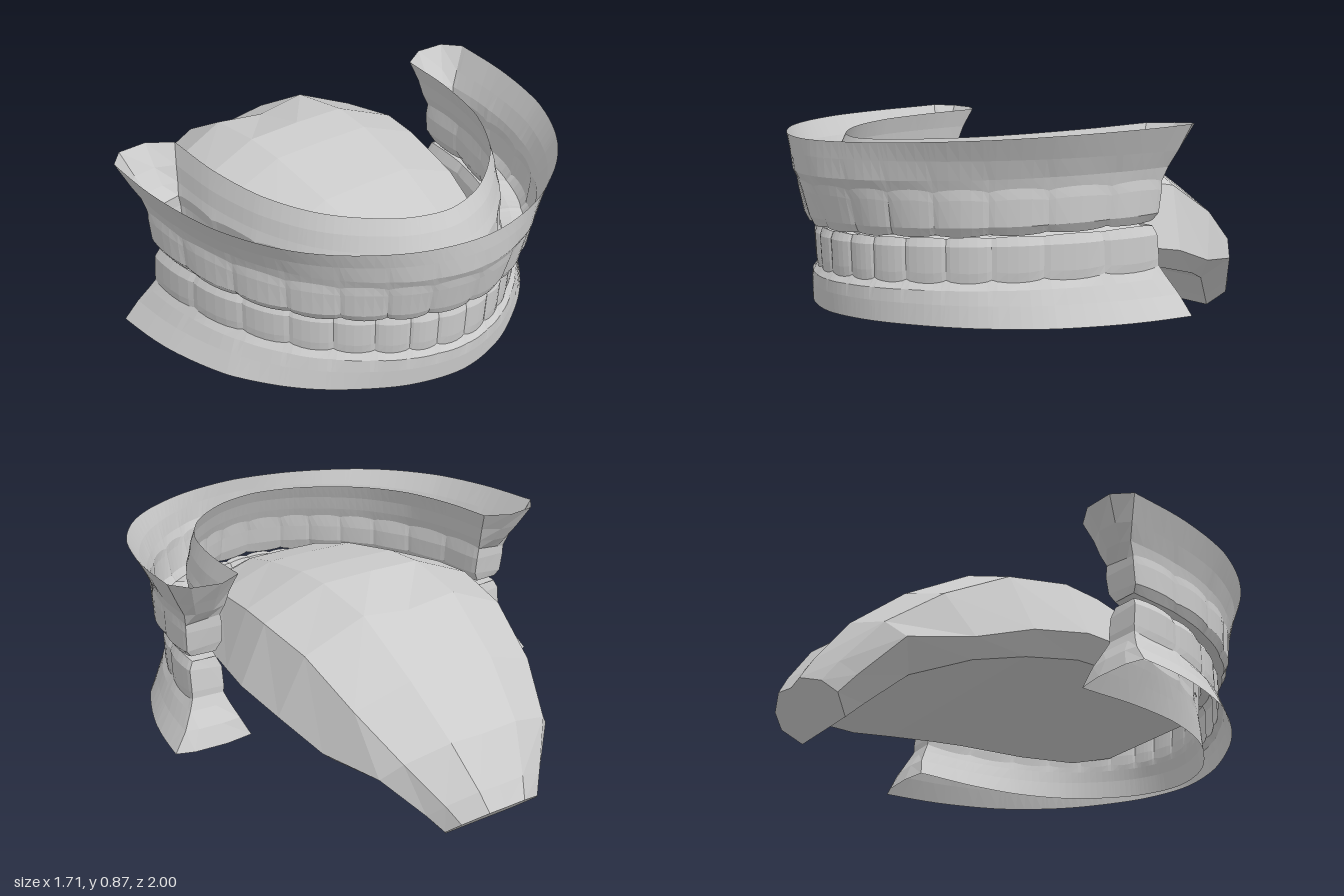
import * as THREE from 'three';

const material = new THREE.MeshStandardMaterial({ color: 0xcccccc, flatShading: true, side: THREE.DoubleSide });
const lerp = THREE.MathUtils.lerp;

// Skin one or more grids (each a list of equally long point rows) into a mesh
function skin(name, grids) {
  const pos = [], idx = [];
  for (const grid of grids) {
    const base = pos.length / 3, n = grid[0].length;
    grid.forEach(row => row.forEach(p => pos.push(p.x, p.y, p.z)));
    for (let i = 0; i < grid.length - 1; i++) for (let j = 0; j < n - 1; j++) {
      const a = base + i * n + j, b = a + n;
      idx.push(a, b, a + 1, a + 1, b, b + 1);
    }
  }
  const g = new THREE.BufferGeometry();
  g.setAttribute('position', new THREE.Float32BufferAttribute(pos, 3));
  g.setIndex(idx);
  g.computeVertexNormals();
  const mesh = new THREE.Mesh(g, material);
  mesh.name = name;
  return mesh;
}

// Centre line of the dental arch, from the left back round the front
const half = [[0.675, 0], [0.662, 0.2], [0.607, 0.41], [0.5, 0.62], [0.365, 0.77], [0.2, 0.885]];
const arch = new THREE.CatmullRomCurve3([
  ...half.map(([x, z]) => new THREE.Vector3(x, 0, z)),
  new THREE.Vector3(0, 0, 0.935),
  ...half.map(([x, z]) => new THREE.Vector3(-x, 0, z)).reverse(),
]);

// Columns along the arch: position u and bulge (0 between teeth, 1 mid-tooth)
function toothColumns(widths) {
  const all = [...widths, ...[...widths].reverse()];
  const total = all.reduce((a, b) => a + b, 0);
  const steps = [0, 0.1, 0.3, 0.5, 0.7, 0.9], cols = [];
  let start = 0;
  for (const w of all) {
    for (const s of steps) cols.push({ u: (start + s * w) / total, bulge: Math.pow(Math.sin(Math.PI * s), 0.6) });
    start += w;
  }
  cols.push({ u: 1, bulge: 0 });
  return cols;
}

// Row: [offset back, offset front, y back, y front, backward reach, scallop, y scallop]
// taper sets how soon the back offsets fade to the front ones
function buildJaw(name, profile, widths, taper, capBulge) {
  const cols = toothColumns(widths);
  const rows = profile.map(([dBack, dFront, yBack, yFront, reach, scallop = 0, yScallop = 0]) =>
    cols.map(({ u, bulge }) => {
      const p = arch.getPointAt(u), t = arch.getTangentAt(u);
      const d = lerp(dBack, dFront, Math.pow(Math.abs(Math.sin(Math.PI * u)), taper)) + scallop * (bulge - 0.7);
      const y = lerp(yBack, yFront, THREE.MathUtils.clamp(p.z / 0.93, 0, 1)) + yScallop * (bulge - 0.5);
      const z = p.z - t.x * d - reach * Math.max(0, 1 - p.z / 0.4);
      return new THREE.Vector3(p.x + t.z * d, y, z);
    }));

  // End caps join each outer row to its matching inner row
  const last = cols.length - 1;
  const cap = (from, to, col) => {
    const grid = [];
    for (let i = from; i <= to; i++) {
      const a = rows[i][col], b = rows[14 - i][col];
      const mids = [0.22, 0.65].map(k => a.clone().lerp(b, k));
      mids.forEach(m => { m.z -= capBulge[i] ?? 0; });
      const row = [a, ...mids, b];
      grid.push(col ? row.reverse() : row);
    }
    return grid;
  };
  const jaw = new THREE.Group();
  jaw.name = name;
  jaw.add(
    skin(name + 'Gum', [rows.slice(0, 4), rows.slice(11), cap(0, 3, 0), cap(0, 3, last)]),
    skin(name + 'Teeth', [rows.slice(3, 12), cap(3, 7, 0), cap(3, 7, last)]),
  );
  return jaw;
}

const upperProfile = [
  [0.165, 0.065, 0.865, 0.81, 0.085],
  [0.12, 0.065, 0.77, 0.75, 0.06],
  [0.09, 0.062, 0.71, 0.68, 0.04, 0.003],
  [0.08, 0.046, 0.665, 0.645, 0.02, 0.005, 0.012],
  [0.083, 0.038, 0.63, 0.61, 0.02, 0.009, 0.008],
  [0.08, 0.012, 0.545, 0.515, 0.01, 0.011],
  [0.058, -0.003, 0.515, 0.485, 0, 0.008, -0.008],
  [0, -0.02, 0.525, 0.487, 0, 0, -0.006],
  [-0.05, -0.036, 0.515, 0.485, 0, -0.006, -0.008],
  [-0.075, -0.05, 0.56, 0.53, 0.01, -0.009],
  [-0.075, -0.06, 0.63, 0.6, 0.02, -0.008],
  [-0.065, -0.068, 0.68, 0.65, 0.02, -0.004, 0.01],
  [-0.075, -0.085, 0.72, 0.69, 0.04],
  [-0.085, -0.11, 0.78, 0.75, 0.06],
  [-0.105, -0.14, 0.855, 0.805, 0.095],
];

const lowerProfile = [
  [0.178, -0.01, 0.175, 0.175, 0.09],
  [0.125, -0.004, 0.25, 0.25, 0.07],
  [0.09, -0.004, 0.31, 0.295, 0.04, 0.003],
  [0.07, -0.022, 0.345, 0.32, 0.02, 0.005, -0.012],
  [0.073, -0.018, 0.375, 0.355, 0.02, 0.009, -0.008],
  [0.073, -0.014, 0.465, 0.445, 0.01, 0.01],
  [0.055, -0.025, 0.5, 0.472, 0, 0.008, 0.006],
  [0, -0.04, 0.485, 0.47, 0, 0, 0.006],
  [-0.05, -0.058, 0.5, 0.472, 0, -0.006, 0.006],
  [-0.07, -0.072, 0.455, 0.44, 0.01, -0.009],
  [-0.07, -0.08, 0.375, 0.36, 0.02, -0.008],
  [-0.064, -0.08, 0.345, 0.32, 0.02, -0.004, -0.01],
  [-0.075, -0.075, 0.31, 0.295, 0.04],
  [-0.1, -0.06, 0.25, 0.25, 0.07],
  [-0.135, -0.045, 0.175, 0.175, 0.09],
];

// Tongue stations, tip to root: [bottom z, bottom y, top z, top y, half width]
const tongueStations = [
  [0.78, 0.38, 0.79, 0.47, 0.15],
  [0.73, 0.35, 0.7, 0.54, 0.31],
  [0.6, 0.33, 0.56, 0.61, 0.43],
  [0.36, 0.325, 0.33, 0.68, 0.51],
  [0.06, 0.32, 0.05, 0.735, 0.555],
  [-0.08, 0.31, -0.12, 0.745, 0.57],
  [-0.3, 0.27, -0.38, 0.705, 0.54],
  [-0.5, 0.22, -0.65, 0.545, 0.48],
  [-0.68, 0.16, -0.85, 0.375, 0.385],
  [-0.8, 0.05, -0.96, 0.215, 0.26],
  [-0.85, 0, -1, 0.14, 0.21],
];

function buildTongue() {
  const rows = tongueStations.map(([zb, yb, zt, yt, w]) => {
    // Half section as [width fraction, height fraction]; the root narrows below and is grooved above
    const root = zt < -0.8;
    const side = [[0, 0], [root ? 0.75 : 0.87, 0], [1, root ? 0.42 : 0.18], [0.83, 0.74], [0.38, 0.99]];
    const section = [...side, [0, zt < -0.2 ? 0.93 : 1], ...side.map(([x, h]) => [-x, h]).reverse()];
    return section.map(([x, h]) => new THREE.Vector3(x * w, lerp(yb, yt, h), lerp(zb, zt, h)));
  });
  // Close tip and root with a fan drawn to the section centre
  const close = row => {
    const c = row[0].clone().add(row[5]).multiplyScalar(0.5);
    return row.map(() => c);
  };
  return skin('tongue', [[close(rows[0]), rows[0]], rows, [rows.at(-1), close(rows.at(-1))]]);
}

export function createModel() {
  const model = new THREE.Group();
  model.name = 'mouth';
  model.add(
    buildJaw('upperJaw', upperProfile, [0.21, 0.22, 0.2, 0.18, 0.16, 0.15, 0.18], 5, [0.065, 0.04, 0.02]),
    buildJaw('lowerJaw', lowerProfile, [0.22, 0.21, 0.18, 0.16, 0.15, 0.13, 0.11, 0.125], 1.5, [0.02, 0.01]),
    buildTongue(),
  );
  return model;
}
